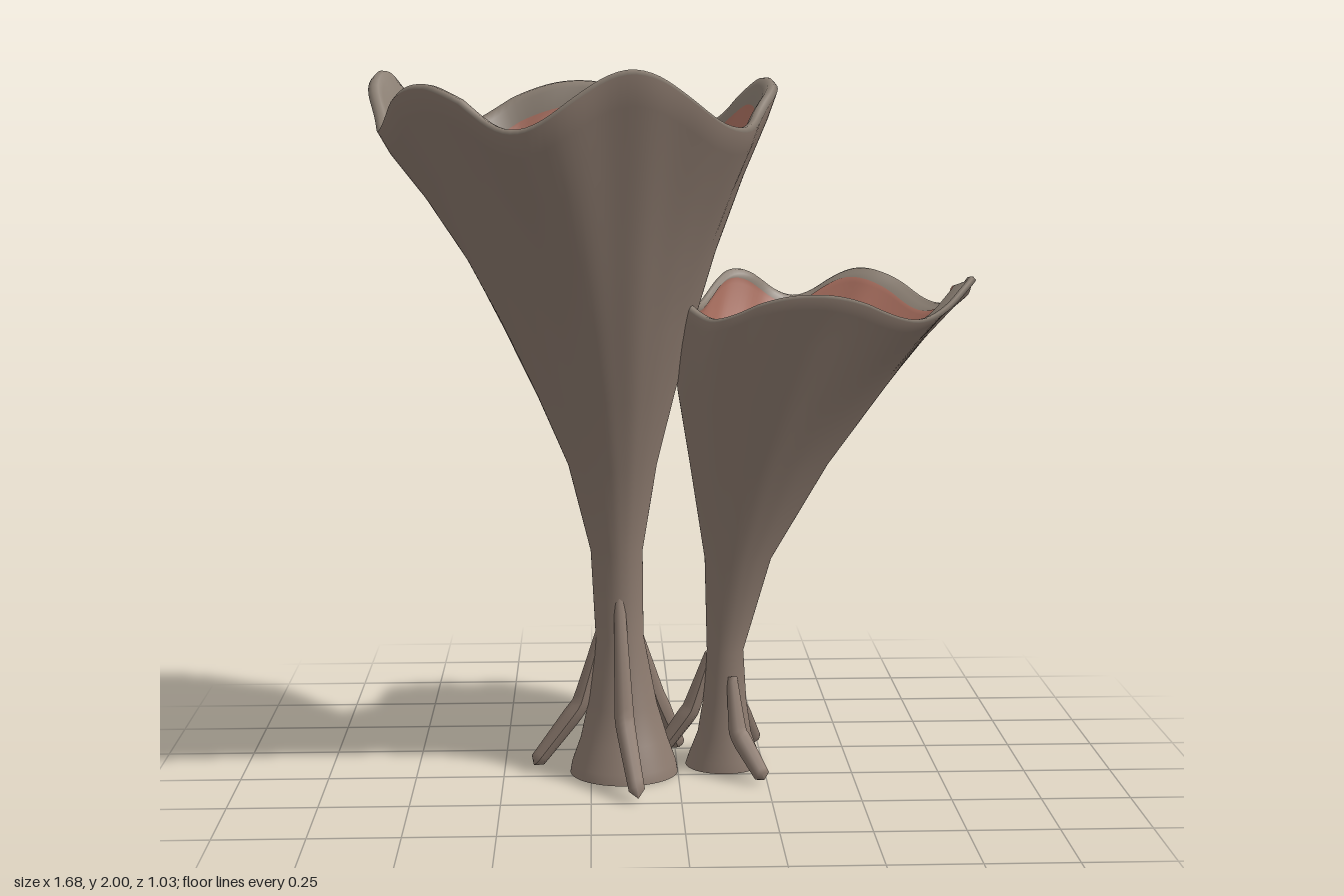
import * as THREE from 'three';

const SEGMENTS = 144;

const bark = new THREE.MeshStandardMaterial({ color: 0x8d7b6f });
bark.name = 'brown bark';
const lip = new THREE.MeshStandardMaterial({ color: 0x8c8074 });
lip.name = 'grey brown lip';
const flesh = new THREE.MeshStandardMaterial({ color: 0xac7161 });
flesh.name = 'red flesh';

// Rim wave from -1 to about 1, with crests at the listed [degrees, height] pairs.
function rimWave(angle, crests) {
  const deg = THREE.MathUtils.radToDeg(angle);
  for (let i = 0; i < crests.length; i++) {
    const [from, h0] = crests[i];
    const [next, h1] = crests[(i + 1) % crests.length];
    const span = (next - from + 360) % 360;
    const f = ((deg - from + 360) % 360) / span;
    if (f < 1) {
      const c = Math.cos(f * Math.PI * 2);
      return c > 0 ? c * THREE.MathUtils.lerp(h0, h1, f) : c;
    }
  }
  return 0;
}

// Fungus cup: closed skin running up the outside, over the lip and down the inside.
// Each station is [y, xMin, xMax, zMin, zMax]; egg and skew shape the outline of the mouth.
function makeCup(name, { stations, waveStart, waveHeight, crests, wall, wrinkle, floorY, egg, skew }) {
  const top = stations[stations.length - 1];
  const n = stations.length;
  const rows = [];
  const add = (s, inset, inner = false, dy = 0) => {
    const rx = Math.max((s[2] - s[1]) / 2 - inset, 0);
    const rz = Math.max((s[4] - s[3]) / 2 - inset, 0);
    rows.push({ y: s[0] + dy, cx: (s[1] + s[2]) / 2, cz: (s[3] + s[4]) / 2, rx, rz, inner });
  };
  // underside, with a sharp edge at the foot
  add(stations[0], 9, false, 0.015);
  add(stations[0], 0);
  stations.forEach((s) => add(s, 0));
  const lipStart = rows.length - 1;
  // rounded lip
  add(top, wall * 0.3, false, wall * 0.35);
  add(top, wall * 0.75, false, wall * 0.3);
  add(top, wall * 1.1, false, -wall * 0.2);
  add(stations[n - 2], wall, false, 0.015);
  const fleshStart = rows.length - 1;
  // inner wall down to a pointed floor
  for (let i = n - 2; stations[i][0] > floorY; i--) add(stations[i], wall, true);
  rows.push({ ...rows[rows.length - 1], y: floorY, rx: 0, rz: 0 });

  const positions = [];
  for (const r of rows) {
    const h = THREE.MathUtils.clamp((r.y - waveStart) / (top[0] - waveStart), 0, 1);
    const flare = THREE.MathUtils.clamp((r.y - 0.5) / (top[0] - 0.5), 0, 1);
    for (let j = 0; j < SEGMENTS; j++) {
      const a = (j / SEGMENTS) * Math.PI * 2;
      const cos = Math.cos(a);
      const sin = Math.sin(a);
      const wave = rimWave(a, crests);
      let k = 1 + flare * (0.01 * wave + 0.009 * Math.cos(11 * a + 1) + 0.005 * Math.cos(17 * a));
      if (r.inner) k += wrinkle * (1 - h) * (Math.cos(24 * a) + 0.7 * Math.cos(15 * a + 2));
      positions.push(
        r.cx + r.rx * k * (cos * (1 - flare * egg * sin) - flare * skew * sin * sin),
        r.y + waveHeight * wave * h,
        r.cz + r.rz * k * sin
      );
    }
  }

  const index = [];
  for (let i = 0; i < rows.length - 1; i++) {
    for (let j = 0; j < SEGMENTS; j++) {
      const a = i * SEGMENTS + j;
      const b = i * SEGMENTS + ((j + 1) % SEGMENTS);
      const c = a + SEGMENTS;
      const d = b + SEGMENTS;
      index.push(a, c, b, b, c, d);
    }
  }
  const geometry = new THREE.BufferGeometry();
  geometry.setAttribute('position', new THREE.Float32BufferAttribute(positions, 3));
  geometry.setIndex(index);
  geometry.computeVertexNormals();
  const perRow = SEGMENTS * 6;
  geometry.addGroup(0, lipStart * perRow, 0);
  geometry.addGroup(lipStart * perRow, (fleshStart - lipStart) * perRow, 1);
  geometry.addGroup(fleshStart * perRow, (rows.length - 1 - fleshStart) * perRow, 2);
  const mesh = new THREE.Mesh(geometry, [bark, lip, flesh]);
  mesh.name = name;
  return mesh;
}

// Root: bent tube, thin where it leaves the stem, thickest at the knee, blunt at the tip.
function makeRoot(name, points) {
  const steps = 24;
  const sides = 8;
  const curve = new THREE.CatmullRomCurve3(
    points.map((p) => new THREE.Vector3(...p)), false, 'catmullrom', 0.1
  );
  const geometry = new THREE.TubeGeometry(curve, steps, 1, sides, false);
  const pos = geometry.attributes.position;
  const v = new THREE.Vector3();
  for (let i = 0; i <= steps; i++) {
    const t = i / steps;
    const centre = curve.getPointAt(t);
    let radius = t < 0.6 ? 0.015 + 0.013 * (t / 0.6) : 0.028 - 0.015 * (t - 0.6);
    if (i === steps) radius = 0.001;
    for (let j = 0; j <= sides; j++) {
      const k = i * (sides + 1) + j;
      v.fromBufferAttribute(pos, k).sub(centre).multiplyScalar(radius).add(centre);
      pos.setXYZ(k, v.x, Math.max(v.y, 0), v.z);
    }
  }
  geometry.computeVertexNormals();
  const mesh = new THREE.Mesh(geometry, bark);
  mesh.name = name;
  return mesh;
}

export function createModel() {
  const model = new THREE.Group();
  model.name = 'funnelFungi';

  const tall = new THREE.Group();
  tall.name = 'tallFungus';
  tall.add(makeCup('tallCup', {
    stations: [
      [0, -0.31, 0.0, -0.19, 0.1],
      [0.03, -0.305, -0.005, -0.185, 0.095],
      [0.1, -0.28, -0.03, -0.165, 0.07],
      [0.2, -0.258, -0.06, -0.145, 0.04],
      [0.4, -0.235, -0.098, -0.12, 0.015],
      [0.65, -0.248, -0.1, -0.125, 0.02],
      [0.9, -0.31, -0.06, -0.16, 0.085],
      [1.1, -0.395, -0.012, -0.2, 0.16],
      [1.3, -0.49, 0.04, -0.255, 0.24],
      [1.5, -0.59, 0.1, -0.325, 0.325],
      [1.7, -0.705, 0.175, -0.395, 0.415],
      [1.84, -0.8, 0.235, -0.435, 0.485],
      [1.91, -0.835, 0.26, -0.45, 0.515],
    ],
    waveStart: 1.4, waveHeight: 0.075, wall: 0.036, wrinkle: 0.018, floorY: 0.5,
    crests: [[66, 1], [138, 0.5], [200, 1], [277, 0.65], [346, 0.75]],
    egg: 0.12, skew: 0.1,
  }));
  tall.add(
    makeRoot('frontRoot', [[-0.168, 0.53, 0.0], [-0.155, 0.19, 0.095], [-0.12, 0.015, 0.25]]),
    makeRoot('rightRoot', [[-0.215, 0.43, -0.05], [-0.28, 0.2, -0.05], [-0.415, 0.018, -0.05]]),
    makeRoot('backRoot', [[-0.115, 0.4, -0.08], [-0.06, 0.2, -0.13], [0.01, 0.02, -0.2]])
  );

  const short = new THREE.Group();
  short.name = 'shortFungus';
  short.add(makeCup('shortCup', {
    stations: [
      [0, 0.025, 0.245, -0.21, 0.0],
      [0.03, 0.035, 0.238, -0.205, -0.002],
      [0.1, 0.06, 0.215, -0.17, -0.012],
      [0.2, 0.075, 0.2, -0.14, -0.02],
      [0.35, 0.085, 0.19, -0.122, -0.022],
      [0.62, 0.078, 0.268, -0.15, 0.01],
      [0.9, 0.035, 0.428, -0.25, 0.1],
      [1.1, 0.003, 0.58, -0.362, 0.175],
      [1.25, -0.01, 0.705, -0.45, 0.23],
      [1.34, -0.008, 0.79, -0.5, 0.263],
      [1.37, -0.005, 0.825, -0.515, 0.275],
    ],
    waveStart: 1.0, waveHeight: 0.045, wall: 0.025, wrinkle: 0.008, floorY: 0.5,
    crests: [[20, 1.2], [93, 0.65], [172, 0.9], [235, 0.9], [301, 0.9]],
    egg: -0.17, skew: 0.08,
  }));
  short.add(
    makeRoot('frontRoot', [[0.155, 0.28, -0.03], [0.17, 0.13, 0.02], [0.24, 0.015, 0.1]]),
    makeRoot('backRoot', [[0.155, 0.32, -0.11], [0.185, 0.15, -0.18], [0.24, 0.015, -0.285]]),
    makeRoot('sideRoot', [[0.095, 0.34, -0.08], [0.04, 0.17, -0.09], [-0.05, 0.04, -0.1]])
  );

  model.add(tall, short);
  return model;
}
